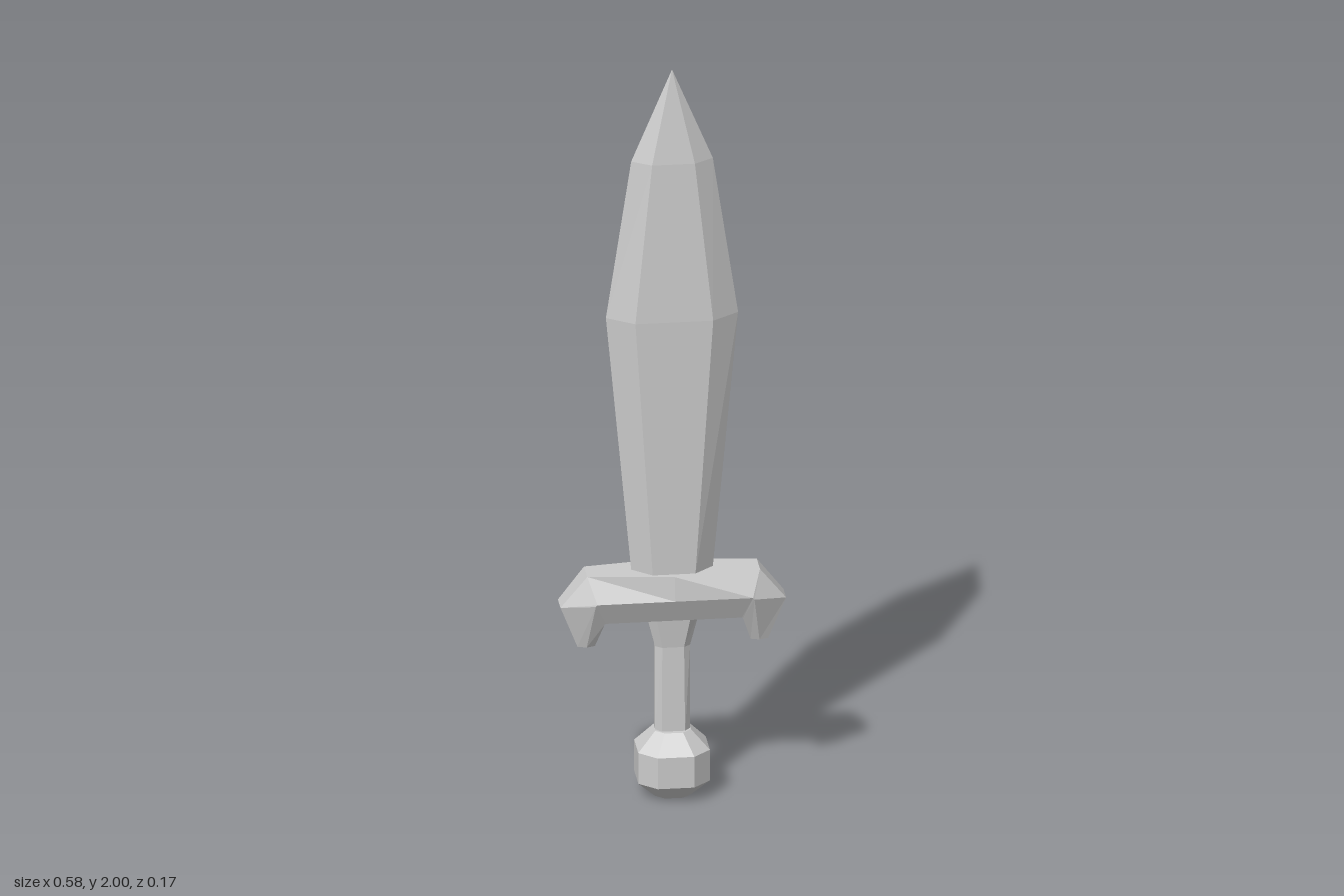
import * as THREE from 'three';

const steel = new THREE.MeshStandardMaterial({ color: 0xcccccc, flatShading: true });

// Closed skin over equal-length rings of [x, y, z], counter-clockwise about the direction of travel
function loft(name, rings) {
  const n = rings[0].length, last = (rings.length - 1) * n, index = [];
  for (let i = 0; i < last; i += n) {
    for (let j = 0; j < n; j++) {
      const a = i + j, b = i + (j + 1) % n;
      index.push(a, b, b + n, a, b + n, a + n);
    }
  }
  for (let j = 1; j < n - 1; j++) {
    index.push(0, j + 1, j, last, last + j, last + j + 1);
  }
  const geometry = new THREE.BufferGeometry();
  geometry.setAttribute('position', new THREE.Float32BufferAttribute(rings.flat(2), 3));
  geometry.setIndex(index);
  const flat = geometry.toNonIndexed();
  flat.computeVertexNormals();
  const mesh = new THREE.Mesh(flat, steel);
  mesh.name = name;
  return mesh;
}

// Hexagonal blade section: cutting edges at +-w, flat face half-width f, half-thickness t
const bladeRing = ([y, w, f, t]) =>
  [[w, y, 0], [f, y, -t], [-f, y, -t], [-w, y, 0], [-f, y, t], [f, y, t]];

// Octagonal section: corners (a, d) and (b, c) mirrored into all quadrants
const octRing = ([y, a, d, b, c]) => [
  [a, y, -d], [b, y, -c], [-b, y, -c], [-a, y, -d],
  [-a, y, d], [-b, y, c], [b, y, c], [a, y, d],
];

// Guard section from upper, middle and lower points, each mirrored in z
const guardRing = ([u, m, l], s) => [
  [s * u[0], u[1], -u[2]], [s * u[0], u[1], u[2]], [s * m[0], m[1], m[2]],
  [s * l[0], l[1], l[2]], [s * l[0], l[1], -l[2]], [s * m[0], m[1], -m[2]],
];

export function createModel() {
  const group = new THREE.Group();
  group.name = 'shortSword';

  // Leaf-shaped blade
  group.add(loft('blade', [
    [0.58, 0.1, 0.052, 0.045],
    [0.62, 0.105, 0.055, 0.045],
    [1.32, 0.17, 0.1, 0.05],
    [1.75, 0.105, 0.055, 0.033],
    [2, 0, 0, 0],
  ].map(bladeRing)));

  // Crossguard with down-turned ends
  const half = [
    [[0.222, 0.62, 0.035], [0.2, 0.555, 0.07], [0.175, 0.49, 0.04]],
    [[0.29, 0.535, 0.028], [0.204, 0.55, 0.069], [0.178, 0.487, 0.039]],
    [[0.245, 0.42, 0.016], [0.222, 0.42, 0.024], [0.2, 0.42, 0.016]],
  ];
  const middle = [[0, 0.62, 0.063], [0, 0.555, 0.07], [0, 0.49, 0.04]];
  group.add(loft('crossguard', [
    ...[...half].reverse().map((r) => guardRing(r, -1)),
    guardRing(middle, 1),
    ...half.map((r) => guardRing(r, 1)),
  ]));

  // Grip, flared under the guard
  group.add(loft('grip', [
    [0.17, 0.045, 0.013, 0.03, 0.031],
    [0.41, 0.045, 0.012, 0.028, 0.026],
    [0.5, 0.068, 0.016, 0.045, 0.036],
  ].map(octRing)));

  // Faceted pommel
  group.add(loft('pommel', [[0, 0.5], [0.045, 1], [0.13, 1], [0.18, 0.5]].map(([y, k]) =>
    octRing([y, 0.092 * k, 0.045 * k, 0.047 * k, 0.087 * k]))));

  return group;
}
